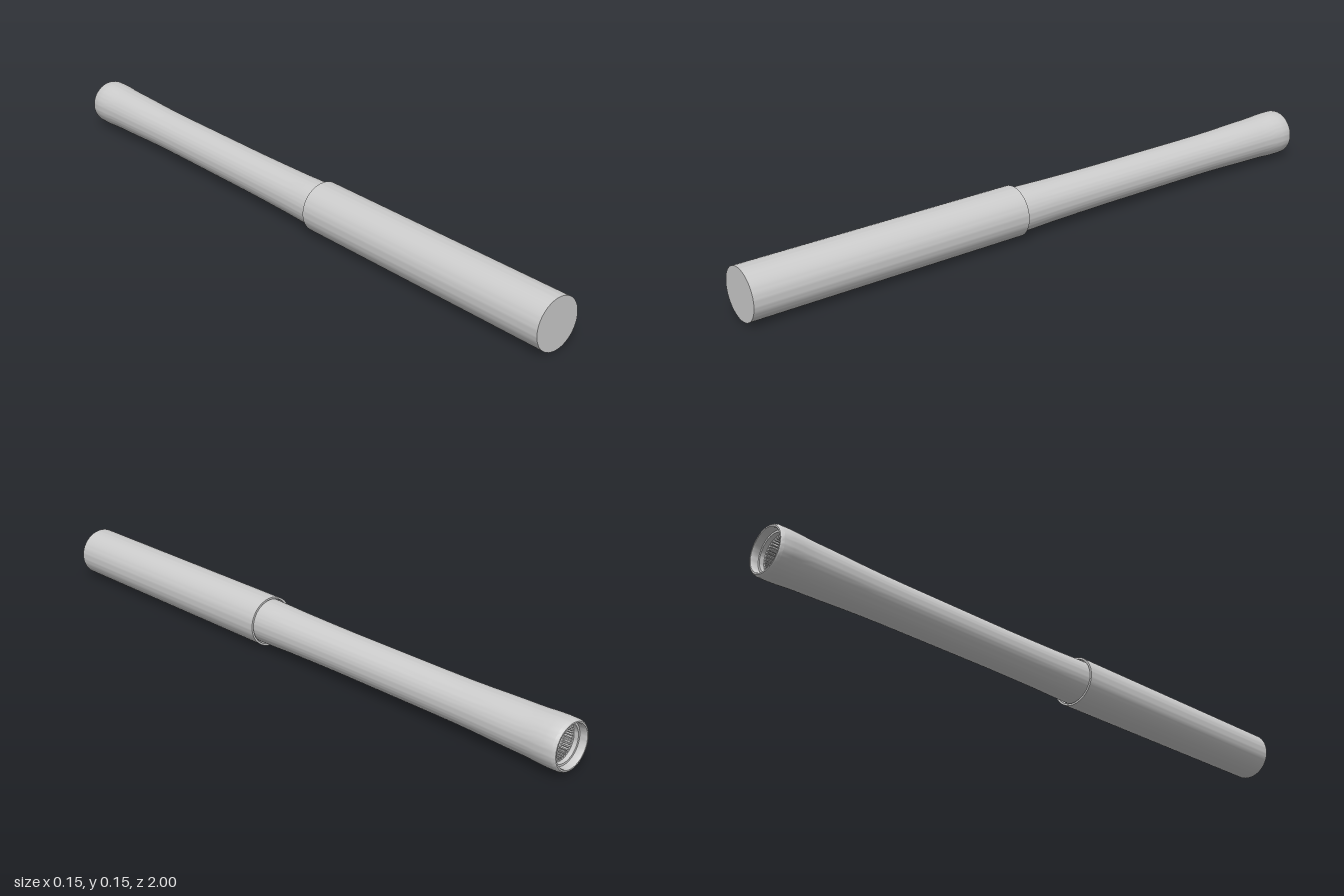
import * as THREE from 'three';
import { toCreasedNormals } from 'three/addons/utils/BufferGeometryUtils.js';

const AXIS_Y = 0.077;
const material = new THREE.MeshStandardMaterial({ color: 0xcccccc });

// Revolve [radius, z] pairs around the long axis, listed from back to front
function turned(name, profile) {
  const points = profile.map(([r, z]) => new THREE.Vector2(r, z));
  const geometry = new THREE.LatheGeometry(points, 72).rotateX(Math.PI / 2);
  const mesh = new THREE.Mesh(toCreasedNormals(geometry, 0.6), material);
  mesh.name = name;
  return mesh;
}

// Ring with inward-pointing teeth
function toothedRing(teeth, outer, root, tip, depth) {
  const shape = new THREE.Shape().absarc(0, 0, outer, 0, Math.PI * 2);
  const hole = [];
  const step = (Math.PI * 2) / teeth;
  for (let i = 0; i < teeth; i++) {
    [[0, root], [0.4, root], [0.5, tip], [0.9, tip]].forEach(([t, r]) => {
      const a = (i + t) * step;
      hole.push(new THREE.Vector2(r * Math.cos(a), r * Math.sin(a)));
    });
  }
  shape.holes.push(new THREE.Path(hole));
  return new THREE.ExtrudeGeometry(shape, { depth, bevelEnabled: false, curveSegments: 36 });
}

export function createModel() {
  const model = new THREE.Group();
  model.name = 'handle';

  // Straight front sleeve, closed at the front
  const sleeve = turned('frontSleeve', [
    [0.06, 0.14], [0.07, 0.14], [0.071, 0.12], [0.077, 0.12], [0.077, 1], [0, 1],
  ]);

  // Slim grip flaring to a rounded pommel with a stepped socket
  const grip = turned('gripAndPommel', [
    [0, -0.94], [0.055, -0.94], [0.055, -0.978], [0.061, -0.978], [0.061, -0.996],
    [0.063, -1], [0.067, -1], [0.07, -0.997], [0.072, -0.99],
    [0.0725, -0.96], [0.0715, -0.93], [0.0695, -0.9], [0.0685, -0.87], [0.068, -0.84],
    [0.0665, -0.78], [0.0645, -0.72], [0.063, -0.65], [0.0625, -0.56],
    [0.0625, -0.2], [0.0635, -0.1], [0.065, 0], [0.067, 0.07], [0.068, 0.12], [0.068, 0.15],
  ]);

  // Serrated ring inside the socket
  const ring = new THREE.Mesh(toothedRing(36, 0.0555, 0.052, 0.045, 0.025), material);
  ring.name = 'socketTeeth';
  ring.position.z = -0.965;

  model.add(sleeve, grip, ring);
  model.children.forEach((part) => { part.position.y = AXIS_Y; });
  return model;
}
